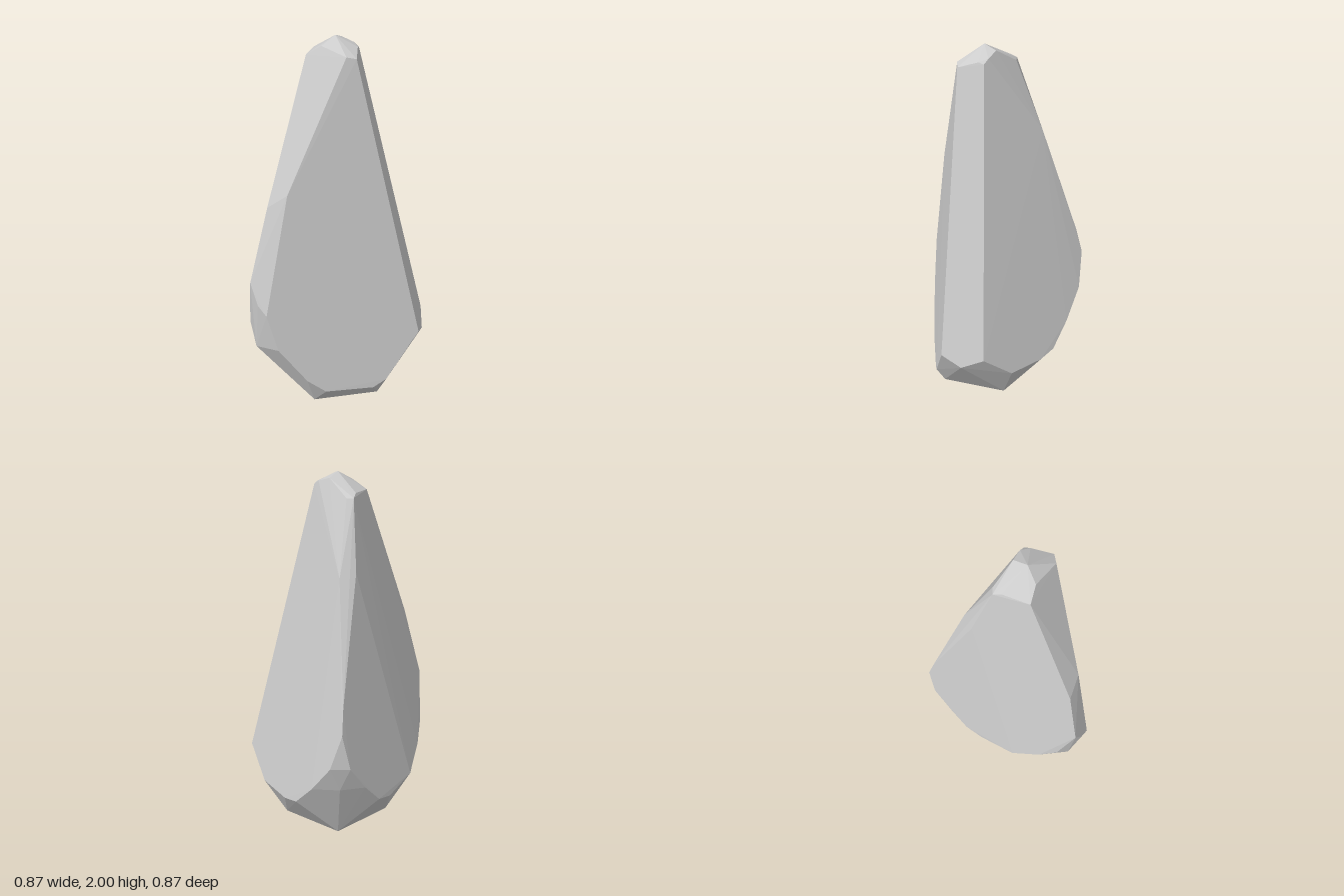
import * as THREE from 'three';
import { ConvexGeometry } from 'three/addons/geometries/ConvexGeometry.js';

// A cut gem: three large flat sides meet in bevelled edges, with a small
// faceted crown above and a five-sided point below.
// Corners are [x, y, z]; the stone is their convex hull.

const crown = [
  [-0.02, 2.0, 0.05], [-0.08, 1.958, 0.094], [0.002, 1.98, -0.012],
  [-0.152, 1.915, 0.084], [0.042, 1.925, 0.16], [0.087, 1.915, 0.145],
  [0.082, 1.947, 0.047], [0.085, 1.94, 0.021], [0.06, 1.96, 0.007],
  [-0.098, 1.908, -0.08], [-0.13, 1.91, -0.075], [-0.13, 1.925, -0.037],
];

// Lower rims of the three large sides
const frontRim = [
  [-0.314, 0.715, 0.432], [-0.262, 0.52, 0.43], [-0.126, 0.324, 0.396],
  [-0.035, 0.245, 0.367], [0.2, 0.223, 0.274], [0.264, 0.26, 0.246], [0.42, 0.508, 0.155],
];
const backRim = [
  [0.424, 0.525, -0.07], [0.314, 0.38, -0.187], [0.16, 0.376, -0.305],
  [0.084, 0.4, -0.354], [-0.016, 0.525, -0.4], [-0.12, 0.68, -0.437],
];
const rightRim = [
  [-0.215, 0.68, -0.41], [-0.27, 0.53, -0.32], [-0.323, 0.41, -0.23], [-0.36, 0.378, -0.14],
  [-0.43, 0.41, 0.05], [-0.438, 0.51, 0.2], [-0.43, 0.6, 0.293],
];

// Corners of the bevels between the sides, and the tip under each bevel
const bevels = [
  [-0.314, 1.24, 0.31], [-0.213, 1.315, 0.33], [-0.4, 0.865, 0.373], [-0.36, 0.76, 0.408],
  [-0.103, 1.57, -0.215], [-0.17, 1.59, -0.17], [-0.173, 1.0, -0.395], [-0.178, 0.87, -0.43],
];
const tips = [[0.436, 0.463, 0.047], [-0.39, 0.49, 0.355], [-0.155, 0.53, -0.38]];

// Regular ring of five corners above the bottom point
function pavilion() {
  const points = [[-0.015, 0, 0.05]];
  for (let i = 0; i < 5; i++) {
    const a = Math.PI + (i * 2 * Math.PI) / 5;
    points.push([-0.015 + 0.285 * Math.cos(a), 0.155, 0.05 + 0.285 * Math.sin(a)]);
  }
  return points;
}

export function createModel() {
  const corners = [crown, frontRim, backRim, rightRim, bevels, tips, pavilion()].flat();
  const geometry = new ConvexGeometry(corners.map((c) => new THREE.Vector3(...c)));
  const gem = new THREE.Mesh(
    geometry,
    new THREE.MeshStandardMaterial({ color: 0xcccccc, flatShading: true })
  );
  gem.name = 'facetedGem';

  const group = new THREE.Group();
  group.name = 'gemstone';
  group.add(gem);
  return group;
}
